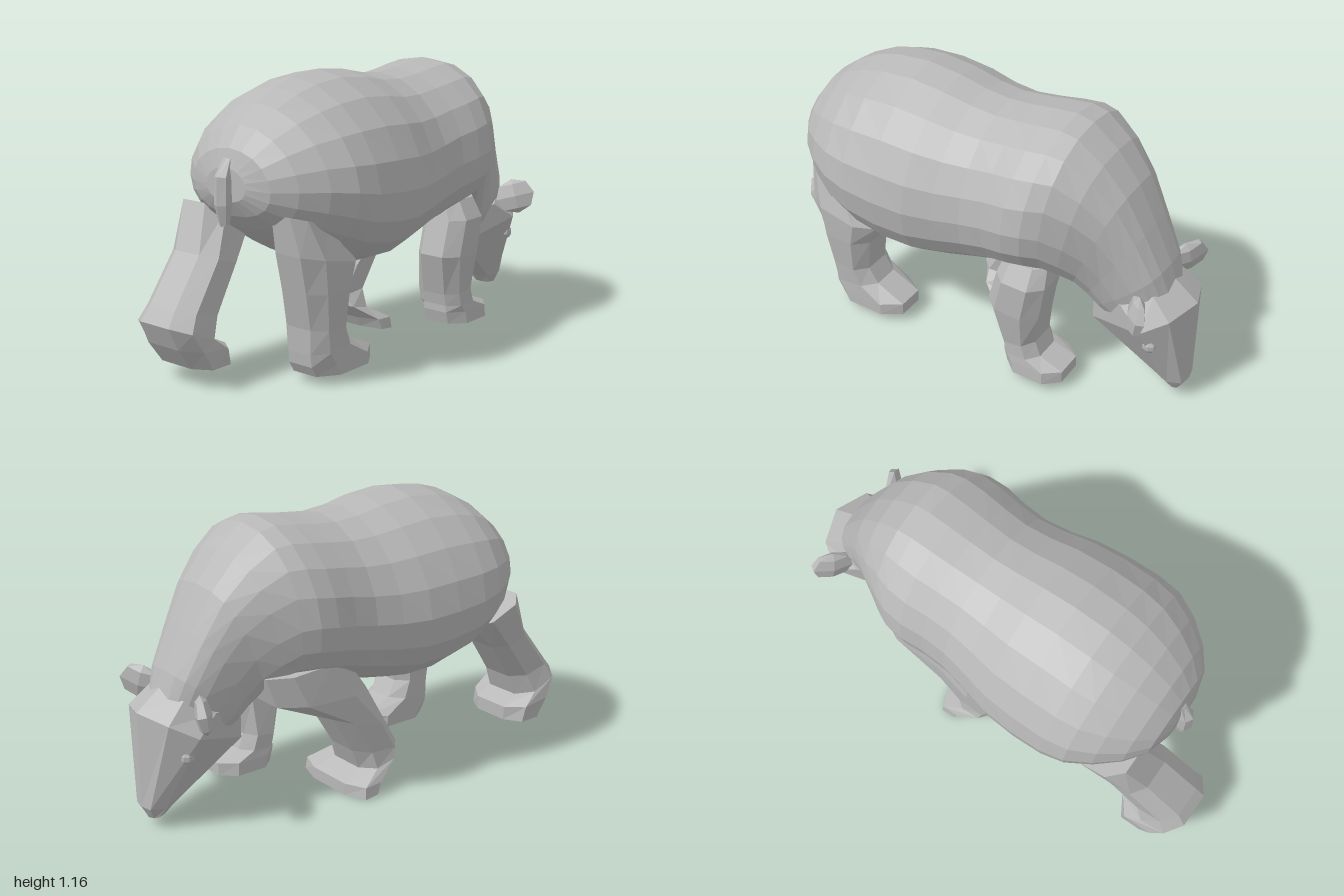
import * as THREE from 'three';

const fur = new THREE.MeshStandardMaterial({ color: 0xb8b8b8 });
fur.name = 'grey fur';

// Gives every face its own flat normal.
function faceted(geo) {
  const g = geo.index ? geo.toNonIndexed() : geo;
  g.computeVertexNormals();
  return g;
}

// Skins a list of closed rings of points and caps both ends.
function skin(rings) {
  const pos = [], n = rings[0].length;
  const tri = (...pts) => pts.forEach(p => pos.push(p.x, p.y, p.z));
  const centre = r => r.reduce((s, p) => s.add(p), new THREE.Vector3()).divideScalar(n);
  for (let i = 0; i < rings.length - 1; i++) {
    for (let j = 0; j < n; j++) {
      const k = (j + 1) % n, a = rings[i], b = rings[i + 1];
      tri(a[j], a[k], b[k]);
      tri(a[j], b[k], b[j]);
    }
  }
  const first = rings[0], last = rings[rings.length - 1];
  const c0 = centre(first), c1 = centre(last);
  for (let j = 0; j < n; j++) {
    const k = (j + 1) % n;
    tri(c0, first[k], first[j]);
    tri(c1, last[j], last[k]);
  }
  const g = new THREE.BufferGeometry();
  g.setAttribute('position', new THREE.Float32BufferAttribute(pos, 3));
  return faceted(g);
}

// Oval ring between two points of the side profile: [ax, ay, bx, by, z, halfWidth].
// A power below 1 squares the a half, belly does so for the b half;
// waist is where it is widest, from b to a.
function oval([ax, ay, bx, by, z, w], sides, { power = 1, belly = power, turn = 0, waist = 0.5 } = {}) {
  return Array.from({ length: sides }, (_, j) => {
    const t = (j / sides) * Math.PI * 2 + turn;
    const p = Math.cos(t) < 0 ? belly : power;
    const shape = v => Math.sign(v) * Math.abs(v) ** p;
    const peak = shape(Math.cos(turn));
    const c = shape(Math.cos(t)) / peak, s = shape(Math.sin(t)) / peak;
    const m = waist + c * (c > 0 ? 1 - waist : waist);
    return new THREE.Vector3(bx + (ax - bx) * m, by + (ay - by) * m, z + w * s);
  });
}

// Ring mirrored in z from a half outline running front to back.
function mirrored(half) {
  const pts = half.map(p => new THREE.Vector3(...p));
  const other = half.slice(1, -1).reverse().map(([x, y, z]) => new THREE.Vector3(x, y, -z));
  return pts.concat(other);
}

export function createModel() {
  const bear = new THREE.Group();
  bear.name = 'grazingBear';
  const add = (name, geo) => {
    const m = new THREE.Mesh(geo, fur);
    m.name = name;
    bear.add(m);
    return m;
  };

  // Trunk and neck: back line, belly line, half width, squareness
  const trunk = [
    [-0.77, 0.85, -0.77, 0.72, 0.10, 1], [-0.75, 0.92, -0.735, 0.66, 0.20, 1],
    [-0.69, 1.0, -0.67, 0.6, 0.285, 1.05], [-0.6, 1.07, -0.58, 0.54, 0.36, 1.08],
    [-0.5, 1.12, -0.48, 0.48, 0.415, 1.1], [-0.4, 1.15, -0.38, 0.425, 0.432, 1.1],
    [-0.25, 1.165, -0.25, 0.39, 0.432, 1.1], [-0.1, 1.15, -0.12, 0.385, 0.42, 1.08],
    [0.02, 1.125, 0.0, 0.405, 0.39, 1.06], [0.13, 1.115, 0.12, 0.435, 0.368, 1.03],
    [0.24, 1.125, 0.22, 0.465, 0.368, 1], [0.34, 1.14, 0.31, 0.485, 0.38, 1],
    [0.43, 1.15, 0.38, 0.495, 0.372, 0.97], [0.5, 1.135, 0.44, 0.495, 0.34, 0.9],
    [0.61, 1.05, 0.49, 0.48, 0.29, 0.82], [0.71, 0.93, 0.53, 0.46, 0.238, 0.75],
    [0.79, 0.78, 0.57, 0.42, 0.198, 0.7], [0.87, 0.62, 0.6, 0.38, 0.172, 0.7],
    [0.9, 0.53, 0.64, 0.34, 0.15, 0.75],
  ];
  add('body', skin(trunk.map(([a, b, c, d, w, power]) =>
    oval([a, b, c, d, 0, w], 20, { power, belly: Math.min(power, 0.9), waist: 0.44 }))));

  // Wedge head pointing down to the muzzle
  add('head', skin([
    [[0.885, 0.56, 0], [0.86, 0.53, 0.12], [0.75, 0.47, 0.17], [0.6, 0.44, 0.11], [0.59, 0.44, 0]],
    [[0.995, 0.478, 0], [0.945, 0.455, 0.145], [0.85, 0.4, 0.207], [0.6, 0.31, 0.11], [0.59, 0.31, 0]],
    [[0.995, 0.09, 0], [0.985, 0.09, 0.05], [0.93, 0.09, 0.075], [0.885, 0.085, 0.05], [0.87, 0.08, 0]],
    [[0.965, 0.035, 0], [0.96, 0.04, 0.03], [0.945, 0.045, 0.045], [0.91, 0.045, 0.03], [0.905, 0.045, 0]],
  ].map(mirrored)));

  // Ears and eyes
  for (const [side, s] of [['left', 1], ['right', -1]]) {
    const ear = add(side + 'Ear', faceted(new THREE.SphereGeometry(1, 6, 4)));
    ear.scale.set(0.034, 0.078, 0.1);
    ear.rotation.set(-0.3 * s, 0.6 * s, 0);
    ear.position.set(0.84, 0.5, 0.222 * s);
    const eye = add(side + 'Eye', faceted(new THREE.SphereGeometry(0.03, 7, 5)));
    eye.scale.z = 0.75;
    eye.position.set(0.875, 0.317, 0.157 * s);
  }

  // Legs in mid stride: front edge, back edge, z centre, half width
  const legs = {
    frontLegZPlus: [
      [0.46, 0.58, 0.27, 0.58, 0.2, 0.085], [0.47, 0.5, 0.25, 0.5, 0.225, 0.108],
      [0.445, 0.34, 0.21, 0.35, 0.222, 0.107], [0.42, 0.19, 0.265, 0.17, 0.197, 0.107],
      [0.445, 0.125, 0.275, 0.12, 0.197, 0.108], [0.55, 0.09, 0.275, 0.09, 0.197, 0.112],
      [0.55, 0.037, 0.29, 0.037, 0.197, 0.115],
    ],
    frontLegZMinus: [
      [0.57, 0.58, 0.2, 0.6, -0.18, 0.12], [0.53, 0.46, 0.09, 0.44, -0.18, 0.14],
      [0.26, 0.34, 0.0, 0.28, -0.19, 0.132], [0.165, 0.18, -0.065, 0.165, -0.195, 0.125],
      [0.13, 0.095, -0.04, 0.135, -0.18, 0.15], [0.21, 0.05, 0.06, 0.06, -0.165, 0.195],
      [0.21, 0, 0.085, 0.015, -0.165, 0.2],
    ],
    hindLegZPlus: [
      [-0.48, 0.62, -0.69, 0.68, 0.2, 0.09], [-0.35, 0.46, -0.67, 0.53, 0.215, 0.12],
      [-0.39, 0.37, -0.635, 0.38, 0.212, 0.118], [-0.41, 0.22, -0.6, 0.23, 0.205, 0.11],
      [-0.37, 0.15, -0.595, 0.13, 0.2, 0.11], [-0.24, 0.09, -0.59, 0.08, 0.2, 0.112],
      [-0.24, 0.037, -0.565, 0.037, 0.2, 0.112],
    ],
    hindLegZMinus: [
      [-0.46, 0.58, -0.71, 0.68, -0.235, 0.115], [-0.62, 0.44, -0.8, 0.5, -0.185, 0.125],
      [-0.75, 0.27, -0.96, 0.32, -0.16, 0.132], [-0.785, 0.18, -1.0, 0.265, -0.16, 0.15],
      [-0.71, 0.14, -0.955, 0.17, -0.165, 0.16], [-0.71, 0.08, -0.89, 0.08, -0.165, 0.155],
    ],
  };
  for (const [name, rows] of Object.entries(legs)) {
    add(name, skin(rows.map(r => oval(r, 8, { power: 0.75, turn: Math.PI / 8 }))));
  }

  // Short hanging tail
  add('tail', skin([
    [-0.75, 0.89, -0.765, 0.88, 0, 0.02], [-0.745, 0.81, -0.815, 0.82, 0, 0.034],
    [-0.75, 0.72, -0.82, 0.71, 0, 0.036], [-0.76, 0.64, -0.8, 0.63, 0, 0.02],
  ].map(r => oval(r, 6))));

  return bear;
}
